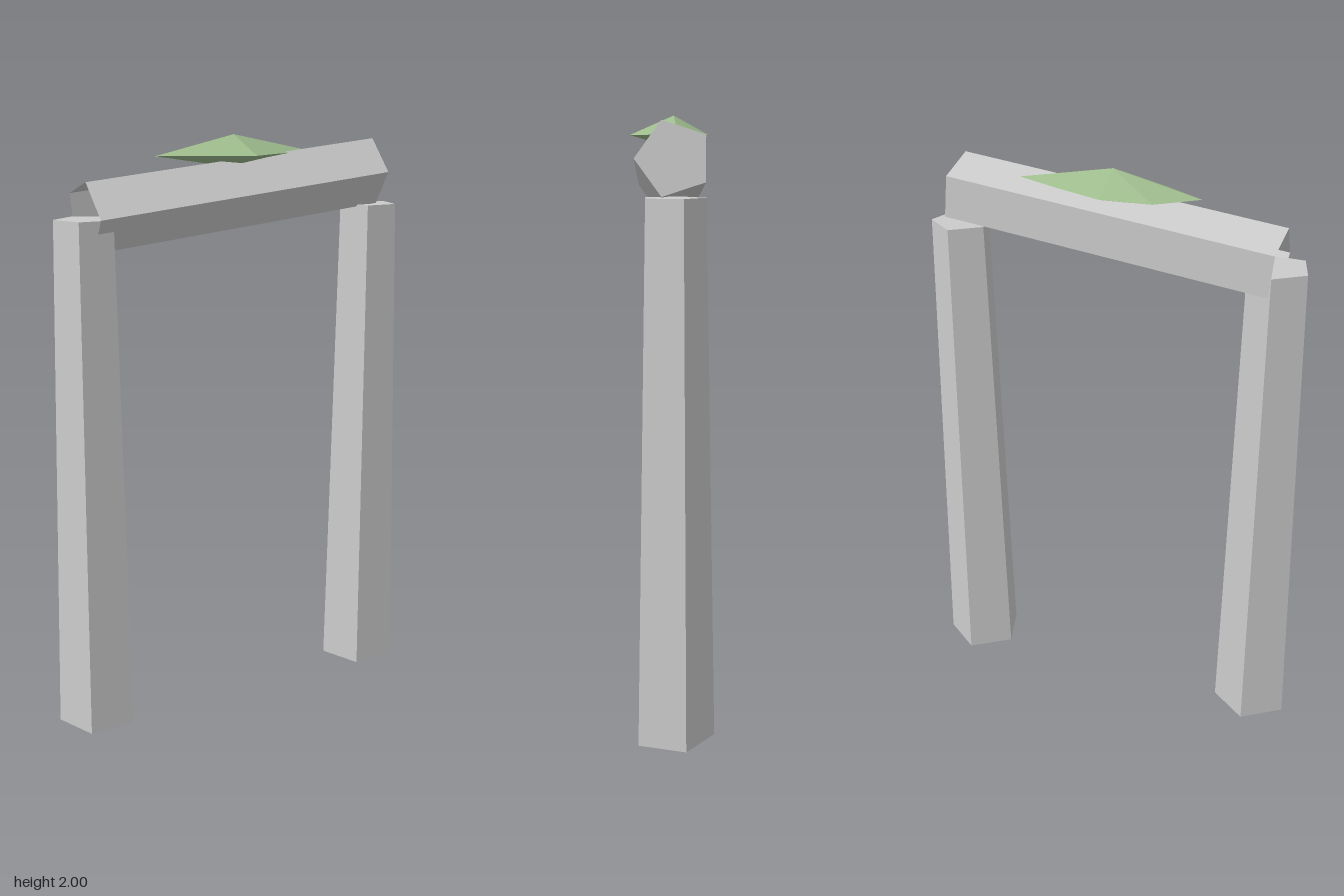
import * as THREE from 'three';
import { mergeGeometries } from 'three/addons/utils/BufferGeometryUtils.js';

const stone = new THREE.MeshStandardMaterial({ color: 0xcccccc, flatShading: true, side: THREE.DoubleSide });
const leafGreen = new THREE.MeshStandardMaterial({ color: 0x9dbb8c, flatShading: true, side: THREE.DoubleSide });

// Five-sided prism, capped at its +y end and open at the other
function prism(name, topRadius, bottomRadius, length, start) {
  const sides = new THREE.CylinderGeometry(topRadius, bottomRadius, length, 5, 1, true, start);
  const cap = new THREE.CircleGeometry(topRadius, 5, start - Math.PI / 2)
    .rotateX(-Math.PI / 2)
    .translate(0, length / 2, 0);
  const mesh = new THREE.Mesh(mergeGeometries([sides, cap]), stone);
  mesh.name = name;
  return mesh;
}

// Flat double pyramid over an irregular outline of [x, z] points
function mossGeometry() {
  const outline = [
    [-0.3, -0.01], [-0.16, 0.065], [0, 0.14], [0.14, 0.06],
    [0.325, -0.02], [0.16, -0.08], [0, -0.13], [-0.17, -0.11],
  ];
  const n = outline.length;
  const positions = outline.flatMap(([x, z]) => [x, 1.935, z]);
  positions.push(0, 2, -0.01, 0, 1.89, -0.01);
  const index = [];
  for (let i = 0; i < n; i++) {
    const j = (i + 1) % n;
    index.push(i, j, n, j, i, n + 1);
  }
  const geometry = new THREE.BufferGeometry();
  geometry.setAttribute('position', new THREE.Float32BufferAttribute(positions, 3));
  geometry.setIndex(index);
  geometry.computeVertexNormals();
  return geometry;
}

export function createModel() {
  const model = new THREE.Group();
  model.name = 'stoneArch';

  // Two tapered pillars
  for (const side of [-1, 1]) {
    const pillar = prism(side > 0 ? 'leftPillar' : 'rightPillar', 0.103, 0.137, 1.745, Math.PI);
    pillar.position.set(side * 0.56, 1.745 / 2, 0);
    model.add(pillar);
  }

  // Tilted lintel lying across the pillars
  const lintel = prism('lintel', 0.121, 0.121, 1.125, 0);
  lintel.rotation.z = -Math.PI / 2 + 0.1;
  lintel.position.set(0, 1.806, -0.003);
  model.add(lintel);

  // Moss patch on top
  const moss = new THREE.Mesh(mossGeometry(), leafGreen);
  moss.name = 'mossPatch';
  model.add(moss);

  return model;
}
